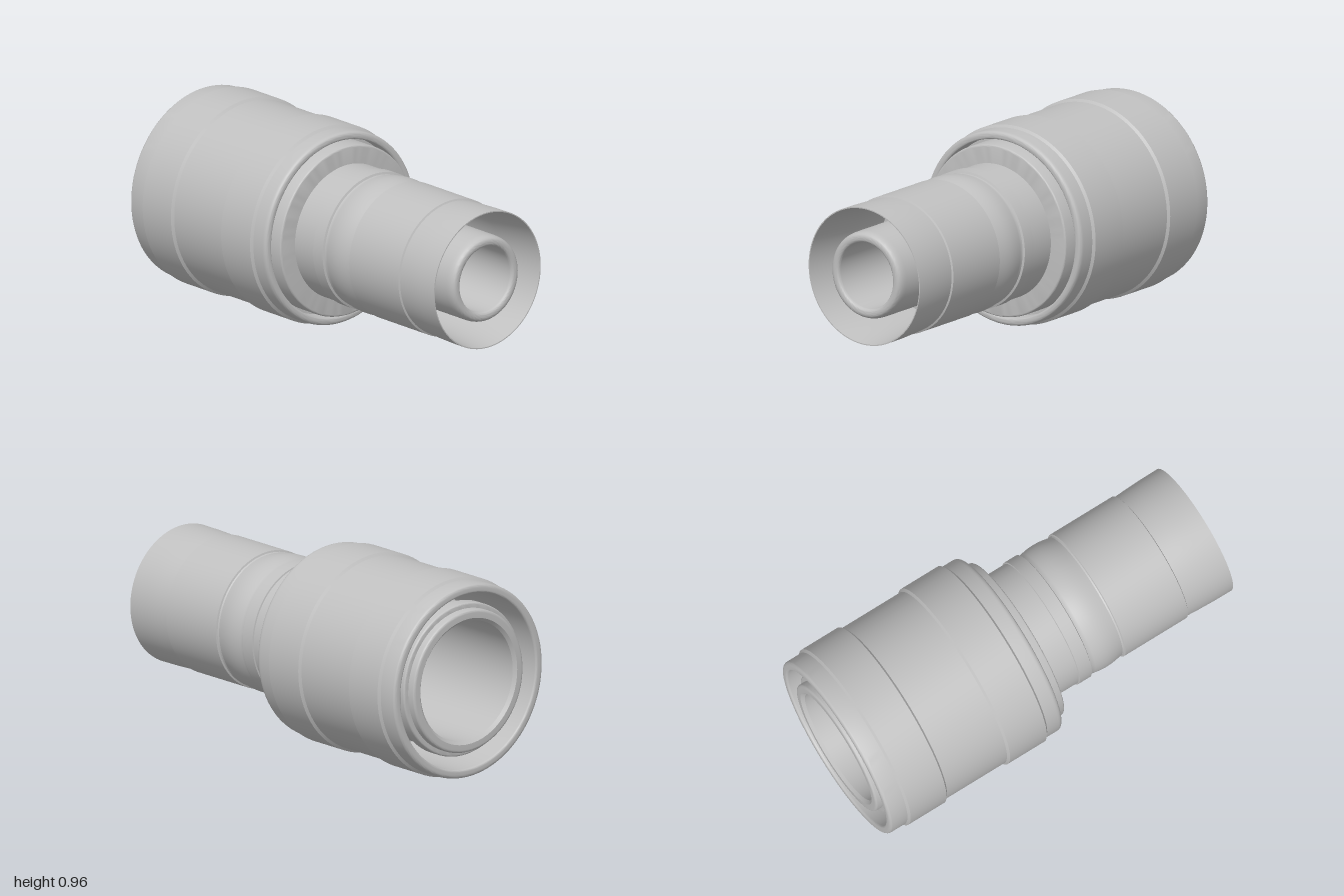
import * as THREE from 'three';
import { toCreasedNormals } from 'three/addons/utils/BufferGeometryUtils.js';

const CENTER_Y = 0.48;
const metal = new THREE.MeshStandardMaterial({ color: 0xc0c0c0 });
metal.name = 'grey metal';

// Profile corners are [x, radius, fillet?]; the outside runs towards +x, the inside back.
function roundProfile(corners) {
  const out = [];
  const n = corners.length;
  corners.forEach(([x, r, fillet], i) => {
    const p = new THREE.Vector2(r, x);
    if (!fillet) { out.push(p); return; }
    const toward = ([qx, qr]) => {
      const d = new THREE.Vector2(qr, qx).sub(p);
      return p.clone().add(d.setLength(Math.min(fillet, d.length() * 0.5)));
    };
    const a = toward(corners[(i + n - 1) % n]);
    const b = toward(corners[(i + 1) % n]);
    out.push(...new THREE.QuadraticBezierCurve(a, p, b).getPoints(6));
  });
  out.push(out[0].clone());
  return out;
}

// Closed ring turned around the x axis
function turned(name, corners) {
  const lathe = new THREE.LatheGeometry(roundProfile(corners), 96);
  lathe.rotateZ(-Math.PI / 2);
  const mesh = new THREE.Mesh(toCreasedNormals(lathe, 0.5), metal);
  mesh.name = name;
  mesh.position.y = CENTER_Y;
  return mesh;
}

export function createModel() {
  const group = new THREE.Group();
  group.name = 'coupling';

  // Large outer sleeve with two raised bands, open at the rear
  group.add(turned('outerSleeve', [
    [-1, 0.468, 0.02],
    [-0.905, 0.468], [-0.895, 0.48], [-0.695, 0.48], [-0.685, 0.468],
    [-0.35, 0.468], [-0.34, 0.48], [-0.135, 0.48], [-0.125, 0.468],
    [-0.037, 0.468, 0.025], [-0.037, 0.43, 0.012],
    [-0.12, 0.43], [-0.12, 0.38], [-0.5, 0.38], [-0.5, 0.425], [-1, 0.425, 0.012],
  ]));

  // Inner body: rear socket, flange and the web around the bore
  group.add(turned('innerBody', [
    [-1, 0.345, 0.015], [-0.5, 0.345], [-0.5, 0.39], [-0.12, 0.39], [-0.12, 0.415],
    [0.008, 0.415, 0.012], [0.008, 0.25],
    [0.008, 0.16], [-0.25, 0.16], [-0.25, 0.29], [-0.985, 0.29], [-1, 0.305],
  ]));

  // Retaining ring just inside the rear socket gap
  group.add(turned('rearRing', [
    [-0.96, 0.37, 0.01], [-0.9, 0.37], [-0.9, 0.34], [-0.96, 0.34],
  ]));

  // Thin front tube with collar, swelling and flared mouth
  const swell = [];
  for (let i = 0; i <= 10; i++) {
    swell.push([0.22 + 0.17 * i / 10, 0.322 + 0.011 * Math.sin(Math.PI * i / 10)]);
  }
  group.add(turned('frontTube', [
    [0, 0.326], [0.143, 0.326], [0.145, 0.333], [0.212, 0.333], [0.216, 0.323],
    ...swell,
    [0.397, 0.325], [0.4, 0.333], [0.748, 0.333], [0.752, 0.325],
    [0.82, 0.329], [0.9, 0.332], [1, 0.333],
    [1, 0.328], [0.75, 0.3], [0.5, 0.3], [0.5, 0.18], [0, 0.18],
  ]));

  // Inner pipe with a rounded mouth
  group.add(turned('innerPipe', [
    [0, 0.21], [0.995, 0.21, 0.05], [0.995, 0.16, 0.02], [0, 0.16],
  ]));

  return group;
}
